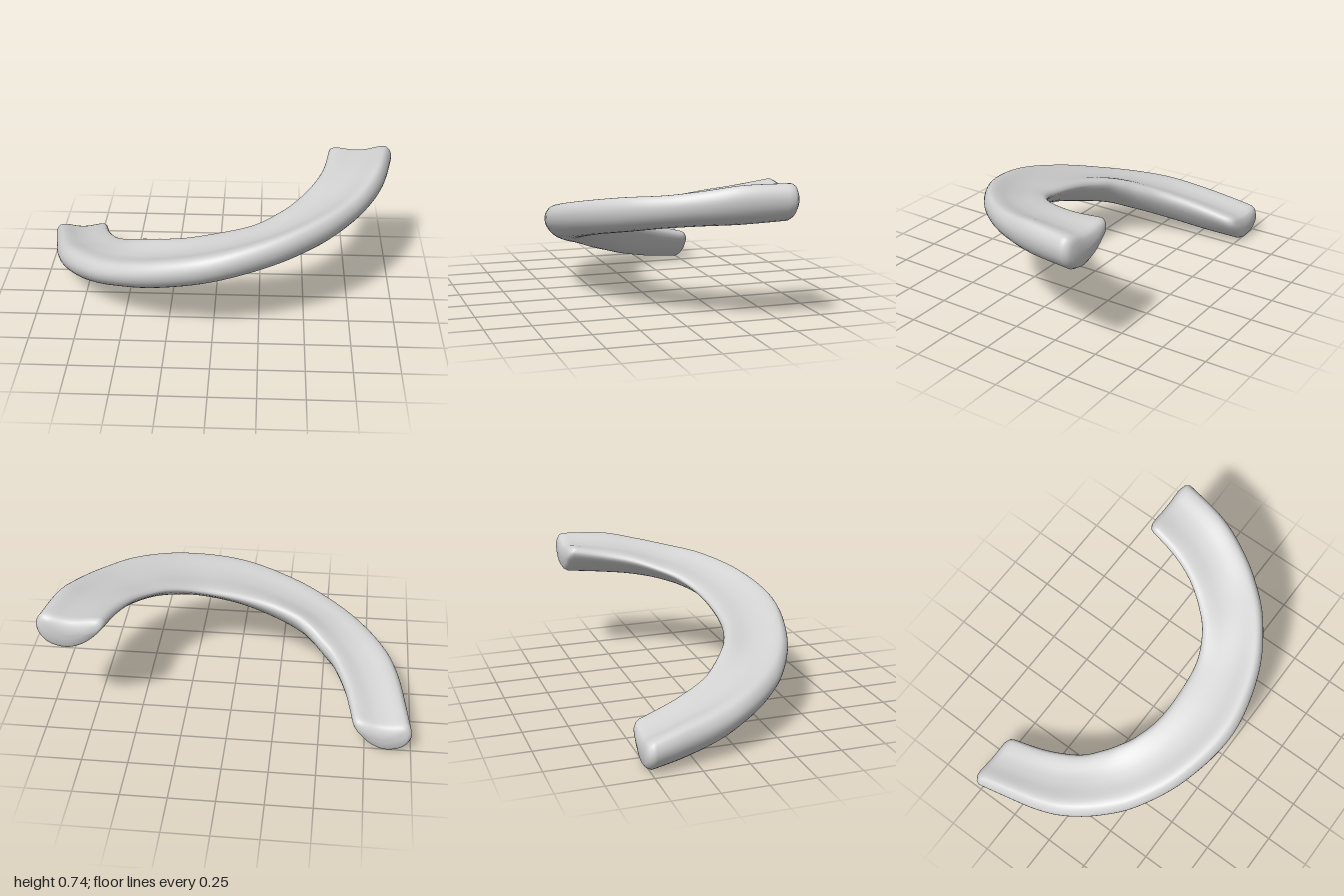
import * as THREE from 'three';

// Stations from the left tip round the front to the right tip:
// outer edge x, z | inner edge x, z | top at outer rim, top at inner lip, underside
const STATIONS = [
  [-1.0, -0.5, -0.68, -0.485, 0.175, 0.2, 0.0],
  [-0.97, -0.33, -0.63, -0.28, 0.215, 0.26, 0.02],
  [-0.93, -0.13, -0.55, -0.1, 0.255, 0.32, 0.06],
  [-0.87, 0.03, -0.46, 0.0, 0.29, 0.37, 0.105],
  [-0.76, 0.19, -0.39, 0.06, 0.325, 0.41, 0.15],
  [-0.6, 0.34, -0.31, 0.11, 0.37, 0.44, 0.205],
  [-0.34, 0.475, -0.17, 0.155, 0.45, 0.47, 0.265],
  [0.0, 0.54, 0.0, 0.165, 0.54, 0.505, 0.34],
  [0.34, 0.465, 0.2, 0.145, 0.615, 0.545, 0.41],
  [0.6, 0.31, 0.35, 0.075, 0.665, 0.595, 0.46],
  [0.77, 0.13, 0.45, -0.02, 0.69, 0.63, 0.495],
  [0.88, -0.05, 0.54, -0.15, 0.72, 0.67, 0.515],
  [0.95, -0.23, 0.6, -0.3, 0.75, 0.7, 0.525],
  [1.0, -0.475, 0.635, -0.475, 0.75, 0.735, 0.54],
];

// Cross-section: u runs from inner to outer edge, v from underside to top
const SECTION = [
  [0, 0.8], [0.05, 0.95], [0.15, 0.96], [0.38, 0.89], [0.6, 0.9], [0.8, 0.98], [0.9, 0.97],
  [0.97, 0.84], [1, 0.62], [0.95, 0.34], [0.8, 0.09], [0.56, 0], [0.33, 0.15], [0.12, 0.48],
];

// Smooth interpolation of one column of the station table
function sample(t, column) {
  const p = t * (STATIONS.length - 1);
  const i = Math.min(Math.floor(p), STATIONS.length - 2);
  const at = (k) => STATIONS[THREE.MathUtils.clamp(k, 0, STATIONS.length - 1)][column];
  const f = p - i;
  const m0 = (at(i + 1) - at(i - 1)) / 2;
  const m1 = (at(i + 2) - at(i)) / 2;
  const f2 = f * f, f3 = f2 * f;
  return (2 * f3 - 3 * f2 + 1) * at(i) + (f3 - 2 * f2 + f) * m0
    + (3 * f2 - 2 * f3) * at(i + 1) + (f3 - f2) * m1;
}

function bandGeometry() {
  const profile = new THREE.CatmullRomCurve3(
    SECTION.map(([u, v]) => new THREE.Vector3(u, v, 0)), true).getPoints(42).slice(0, -1);
  const sides = profile.length;
  const steps = 78;

  // Rings: rounded cap, swept body, rounded cap (t, scale, push along z)
  const cap = [[0, -0.04], [0.5, -0.039], [0.82, -0.034], [0.94, -0.02]];
  const rings = cap.map(([s, dz]) => [0, s, dz]);
  for (let i = 0; i <= steps; i++) rings.push([i / steps, 1, 0]);
  cap.reverse().forEach(([s, dz]) => rings.push([1, s, dz]));

  const positions = [], index = [];
  rings.forEach(([t, scale, dz], r) => {
    const [ox, oz, ix, iz, outerTop, innerTop, under] = [0, 1, 2, 3, 4, 5, 6].map((c) => sample(t, c));
    profile.forEach((p, j) => {
      // caps round off more strongly in height than in width
      const u = 0.52 + (p.x - 0.52) * scale;
      const v = 0.5 + (p.y - 0.5) * scale * scale;
      const top = THREE.MathUtils.lerp(innerTop, outerTop, u);
      positions.push(
        THREE.MathUtils.lerp(ix, ox, u),
        THREE.MathUtils.lerp(under, top, v),
        THREE.MathUtils.lerp(iz, oz, u) + dz);
      if (r === rings.length - 1) return;
      const a = r * sides + j, b = r * sides + (j + 1) % sides;
      index.push(a, b, a + sides, b, b + sides, a + sides);
    });
  });

  const geometry = new THREE.BufferGeometry();
  geometry.setAttribute('position', new THREE.Float32BufferAttribute(positions, 3));
  geometry.setIndex(index);
  geometry.computeVertexNormals();
  return geometry;
}

export function createModel() {
  const group = new THREE.Group();
  group.name = 'curvedBand';
  const grey = new THREE.MeshStandardMaterial({ color: 0xd2d2d2 });
  grey.name = 'light grey';
  const band = new THREE.Mesh(bandGeometry(), grey);
  band.name = 'band';
  group.add(band);
  return group;
}
